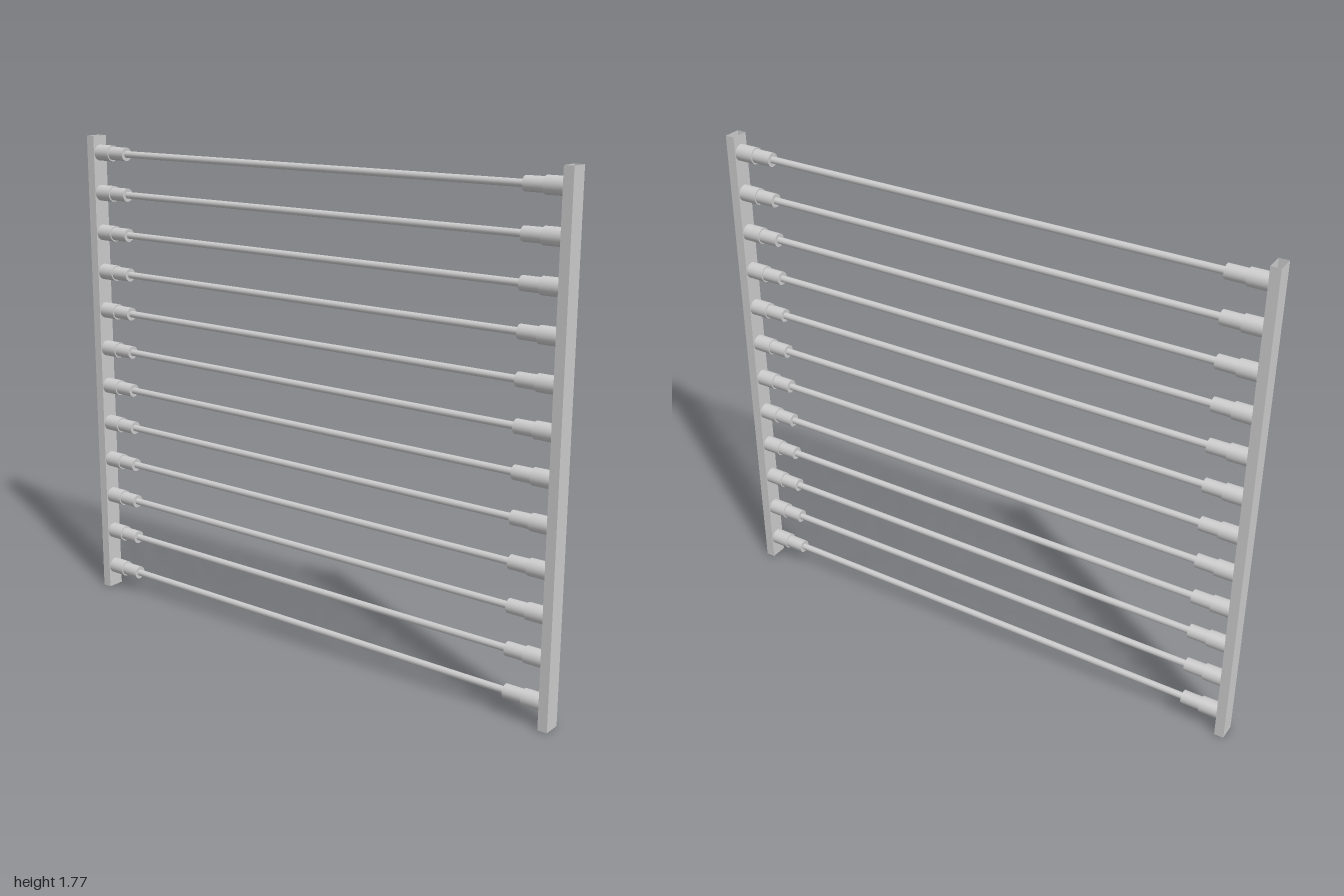
import * as THREE from 'three';

const HEIGHT = 1.77, POST_W = 0.063, POST_D = 0.034;
const RUNGS = 12, FIRST_Y = 0.083, STEP = 0.1477;
const INNER = 1 - POST_D; // z of the posts' inner faces

export function createModel() {
  const model = new THREE.Group();
  const metal = new THREE.MeshStandardMaterial({ color: 0xcccccc, side: THREE.DoubleSide });

  const add = (parent, geometry, name) => {
    const mesh = new THREE.Mesh(geometry, metal);
    mesh.name = name;
    parent.add(mesh);
    return mesh;
  };

  // Rectangular tube with open ends: a box without its top and bottom faces
  const postGeo = new THREE.BoxGeometry(POST_W, HEIGHT, POST_D);
  const faces = Array.from(postGeo.index.array);
  postGeo.setIndex([...faces.slice(0, 12), ...faces.slice(24)]);
  postGeo.clearGroups();

  for (const side of [1, -1]) {
    const post = add(model, postGeo, side > 0 ? 'frontPost' : 'backPost');
    post.position.set(0, HEIGHT / 2, side * (1 - POST_D / 2));
  }

  // Rod and stepped socket, both laid along z
  const rodGeo = new THREE.CylinderGeometry(0.0122, 0.0122, INNER * 2, 24, 1, true).rotateX(Math.PI / 2);
  const collarGeo = new THREE.CylinderGeometry(0.029, 0.029, 0.068, 32).rotateX(Math.PI / 2);
  const sleeveGeo = new THREE.CylinderGeometry(0.0242, 0.0242, 0.07, 32).rotateX(Math.PI / 2);

  for (let i = 0; i < RUNGS; i++) {
    const rung = new THREE.Group();
    rung.name = `rung${i + 1}`;
    rung.position.y = FIRST_Y + i * STEP;
    add(rung, rodGeo, 'rod');
    for (const side of [1, -1]) {
      add(rung, collarGeo, 'socketCollar').position.z = side * (INNER - 0.034);
      add(rung, sleeveGeo, 'socketSleeve').position.z = side * (INNER - 0.103);
    }
    model.add(rung);
  }
  return model;
}
